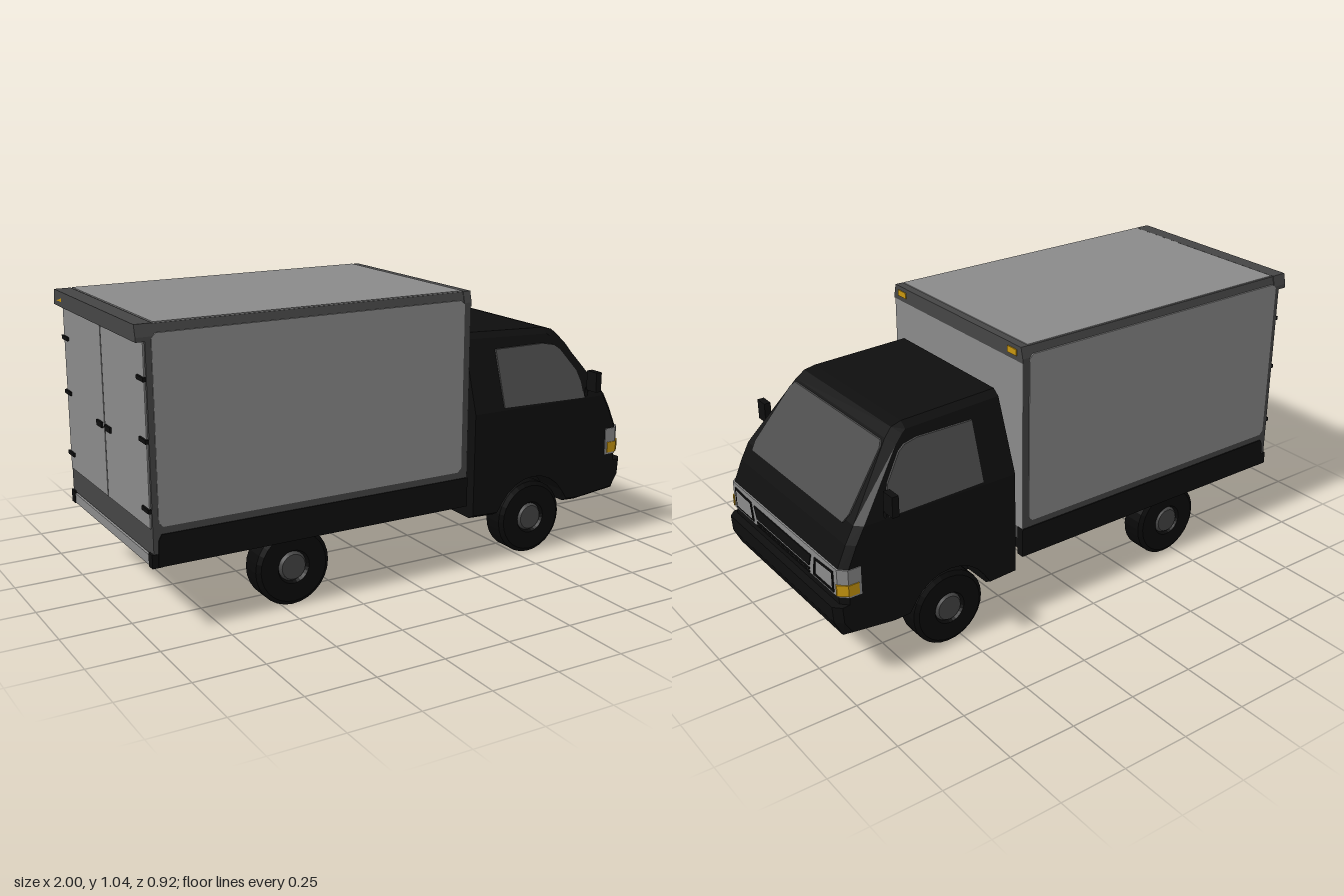
import * as THREE from 'three';

export function createModel() {
  const truck = new THREE.Group();
  const mat = (name, color) => {
    const m = new THREE.MeshStandardMaterial({ color });
    m.name = name;
    return m;
  };
  const black = mat('black paint', 0x0e0e0e);
  const rubber = mat('tyre rubber', 0x090909);
  const trim = mat('dark grey trim', 0x454545);
  const glass = mat('tinted glass', 0x4b4b4b);
  const grey = mat('light grey panel', 0x8a8a8a);
  const amber = mat('amber lamp', 0xc8960f);

  const add = (name, geometry, material, x = 0, y = 0, z = 0, parent = truck) => {
    const mesh = new THREE.Mesh(geometry, material);
    mesh.name = name;
    mesh.position.set(x, y, z);
    parent.add(mesh);
    return mesh;
  };
  const box = (name, material, x0, x1, y0, y1, z0, z1) =>
    add(name, new THREE.BoxGeometry(x1 - x0, y1 - y0, Math.abs(z1 - z0)), material,
      (x0 + x1) / 2, (y0 + y1) / 2, (z0 + z1) / 2);
  const toShape = (pts) => new THREE.Shape(pts.map(([x, y]) => new THREE.Vector2(x, y)));
  // Extrusion centred on z = 0
  const slab = (pts, depth, hole) => {
    const shape = toShape(pts);
    if (hole) shape.holes.push(toShape(hole));
    return new THREE.ExtrudeGeometry(shape, { depth, bevelEnabled: false }).translate(0, 0, -depth / 2);
  };
  // Rectangle with clipped corners
  const clipped = (x0, x1, y0, y1, c) => [[x0 + c, y0], [x1 - c, y0], [x1, y0 + c], [x1, y1 - c],
    [x1 - c, y1], [x0 + c, y1], [x0, y1 - c], [x0, y0 + c]];
  // Plan outline (x, z) raised from y0 to y1
  const raised = (pts, y0, y1) =>
    slab(pts.map(([x, z]) => [x, -z]), y1 - y0).rotateX(-Math.PI / 2).translate(0, (y0 + y1) / 2, 0);
  // Plate facing +x, outline given as (z, y)
  const facing = (pts, depth, hole) =>
    slab(pts.map(([z, y]) => [-z, y]), depth, hole && hole.map(([z, y]) => [-z, y])).rotateY(Math.PI / 2);

  // ---- Cargo box ----
  const boxOutline = [[-0.395, 0.28], [0.395, 0.28], [0.395, 0.99], [0.385, 1.033], [-0.385, 1.033], [-0.395, 0.99]];
  add('cargoBox', facing(boxOutline, 1.215), trim, -0.3605);
  add('rearLintel', facing([[-0.397, 0.98], [0.397, 0.98], [0.397, 0.995], [0.387, 1.035], [-0.387, 1.035], [-0.397, 0.995]], 0.06), trim, -0.97);
  add('frontHeader', facing([[-0.397, 0.98], [0.397, 0.98], [0.397, 0.995], [0.387, 1.035], [-0.387, 1.035], [-0.397, 0.995]], 0.03), trim, 0.236);
  box('roofPanel', grey, -0.935, 0.22, 1.03, 1.037, -0.382, 0.382);
  box('frontPanel', grey, 0.244, 0.249, 0.35, 0.98, -0.395, 0.395);
  for (const s of [-1, 1]) {
    add('sidePanel', slab(clipped(-0.948, 0.222, 0.375, 1.005, 0.015), 0.006), grey, 0, 0, s * 0.395);
    add('sideSkirt', slab([[-0.955, 0.24], [0.25, 0.24], [0.25, 0.35], [-0.94, 0.35], [-0.95, 0.33]], 0.03), black, 0, 0, s * 0.384);
    box('rearDoor', grey, -0.973, -0.966, 0.37, 0.98, s * 0.003, s * 0.385);
    box('doorHandle', black, -0.98, -0.97, 0.61, 0.63, s * 0.015, s * 0.065);
    for (const y of [0.43, 0.66, 0.86]) box('doorHinge', black, -0.98, -0.968, y - 0.007, y + 0.007, s * 0.335, s * 0.393);
    box('frontMarker', amber, 0.249, 0.255, 0.998, 1.02, s * 0.315, s * 0.365);
    box('rearMarker', amber, -1.0, -0.996, 0.998, 1.02, s * 0.315, s * 0.365);
    box('bumperEnd', black, -0.975, -0.94, 0.238, 0.285, s * 0.365, s * 0.397);
  }
  box('rearBumper', grey, -0.972, -0.942, 0.24, 0.275, -0.366, 0.366);
  box('cargoFloor', black, -0.94, 0.248, 0.262, 0.3, -0.385, 0.385);
  add('chassisRail', slab([[-0.87, 0.25], [-0.56, 0.16], [-0.3, 0.148], [0.15, 0.185], [0.15, 0.235],
    [-0.3, 0.195], [-0.54, 0.205], [-0.6, 0.24], [-0.7, 0.262], [-0.85, 0.262]], 0.05), trim);

  // ---- Cab ----
  const BELT = 0.58;
  const halfWidth = (y) => 0.397 - Math.max(0, y - BELT) * 0.315;
  // Side profile extruded across the cab, with its outer layers drawn in as a chamfer
  const cabBody = (pts, noseX) => {
    const geo = new THREE.ExtrudeGeometry(toShape(pts), { depth: 3, steps: 3, bevelEnabled: false });
    const p = geo.attributes.position;
    for (let i = 0; i < p.count; i++) {
      const layer = Math.round(p.getZ(i)), outer = layer === 0 || layer === 3;
      let x = p.getX(i), y = p.getY(i);
      const half = halfWidth(y) - (outer ? 0 : 0.026);
      if (outer) {
        if (x > noseX) x -= 0.025;
        if (y < 0.2) y += 0.015;
        if (y > 0.8) y -= 0.02;
      }
      p.setXYZ(i, x, y, layer < 2 ? -half : half);
    }
    geo.computeVertexNormals();
    return geo;
  };
  const arch = [];
  for (let i = 0; i <= 14; i++) {
    const a = -0.2 + (i / 14) * (Math.PI + 0.4);
    arch.push([0.555 + 0.165 * Math.cos(a), Math.max(0.175, 0.14 + 0.165 * Math.sin(a))]);
  }
  arch.shift();
  arch.pop();
  add('cabLowerBody', cabBody([[0.28, 0.18], [0.282, BELT], [0.9025, BELT], [0.935, 0.52], [0.97, 0.44], [0.97, 0.312],
    [0.998, 0.31], [0.994, 0.25], [0.965, 0.19], [0.78, 0.172], ...arch], 0.9), black);
  add('cabUpperBody', cabBody([[0.282, BELT], [0.9025, BELT], [0.73, 0.81], [0.70, 0.838], [0.66, 0.848], [0.287, 0.862]], 0.695), black);
  box('wheelWell', black, 0.36, 0.75, 0.176, 0.33, -0.265, 0.265);

  // Windscreen lies on the sloping front
  const screenX = (y) => 0.73 + (0.81 - y) * 0.75;
  const screen = facing([[-0.32, 0.572], [0.32, 0.572], [0.331, 0.60], [0.303, 0.785], [0.288, 0.803],
    [-0.288, 0.803], [-0.303, 0.785], [-0.331, 0.60]], 0.008);
  const sp = screen.attributes.position;
  for (let i = 0; i < sp.count; i++) sp.setX(i, sp.getX(i) + screenX(sp.getY(i)) + 0.002);
  screen.computeVertexNormals();
  add('windscreen', screen, glass);

  for (const s of [-1, 1]) {
    // Side window leans with the cab wall
    const win = slab([[0.412, 0.59], [0.785, 0.583], [0.782, 0.64], [0.768, 0.685], [0.705, 0.77],
      [0.68, 0.787], [0.63, 0.797], [0.412, 0.797]], 0.008);
    const wp = win.attributes.position;
    for (let i = 0; i < wp.count; i++) wp.setZ(i, wp.getZ(i) + s * halfWidth(wp.getY(i)));
    win.computeVertexNormals();
    add('sideWindow', win, glass);

    // Door mirror and its arm
    box('mirror', black, 0.785, 0.81, 0.615, 0.69, s * 0.408, s * 0.462);
    const arm = new THREE.CatmullRomCurve3([new THREE.Vector3(0.797, 0.585, s * 0.392),
      new THREE.Vector3(0.797, 0.62, s * 0.4), new THREE.Vector3(0.797, 0.625, s * 0.42)]);
    add('mirrorArm', new THREE.TubeGeometry(arm, 6, 0.006, 6), black);

    // Corner lamp and headlamp outline
    add('cornerLamp', raised([[0.91, s * 0.403], [0.95, s * 0.403], [0.979, s * 0.377], [0.979, s * 0.37],
      [0.94, s * 0.37], [0.91, s * 0.39]], 0.347, 0.388), amber);
    add('headlampFrame', facing(
      [[s * 0.352, 0.428], [s * 0.229, 0.421], [s * 0.217, 0.35], [s * 0.352, 0.35]], 0.006,
      [[s * 0.344, 0.42], [s * 0.236, 0.414], [s * 0.226, 0.357], [s * 0.344, 0.357]]), black, 0.976);
  }

  // Lamp band wrapped round the nose, with grille
  add('lampBand', raised([[0.90, -0.4], [0.948, -0.4], [0.975, -0.374], [0.975, 0.374], [0.948, 0.4], [0.90, 0.4]], 0.34, 0.443), grey);
  add('grille', facing([[-0.19, 0.372], [0.19, 0.372], [0.206, 0.418], [-0.206, 0.418]], 0.006), black, 0.976);
  for (const y of [0.359, 0.347]) box('grilleBar', black, 0.972, 0.979, y - 0.003, y + 0.003, -0.19, 0.19);

  // ---- Wheels ----
  const tyre = new THREE.LatheGeometry([[0, -0.049], [0.125, -0.049], [0.14, -0.038], [0.14, 0.038], [0.125, 0.049],
    [0.06, 0.049], [0.052, 0.035], [0, 0.035]].map(([r, y]) => new THREE.Vector2(r, y)), 28)
    .toNonIndexed();
  tyre.computeVertexNormals();
  const hub = new THREE.CylinderGeometry(0.045, 0.054, 0.014, 20);
  for (const x of [-0.46, 0.555]) {
    for (const s of [-1, 1]) {
      const wheel = new THREE.Group();
      wheel.name = x > 0 ? 'frontWheel' : 'rearWheel';
      wheel.position.set(x, 0.14, s * 0.337);
      wheel.rotation.x = s * Math.PI / 2;
      add('tyre', tyre, rubber, 0, 0, 0, wheel);
      add('hub', hub, trim, 0, 0.042, 0, wheel);
      truck.add(wheel);
    }
    const axle = add('axle', new THREE.CylinderGeometry(0.02, 0.02, 0.6, 10), black, x, 0.17, 0);
    axle.rotation.x = Math.PI / 2;
  }
  return truck;
}
